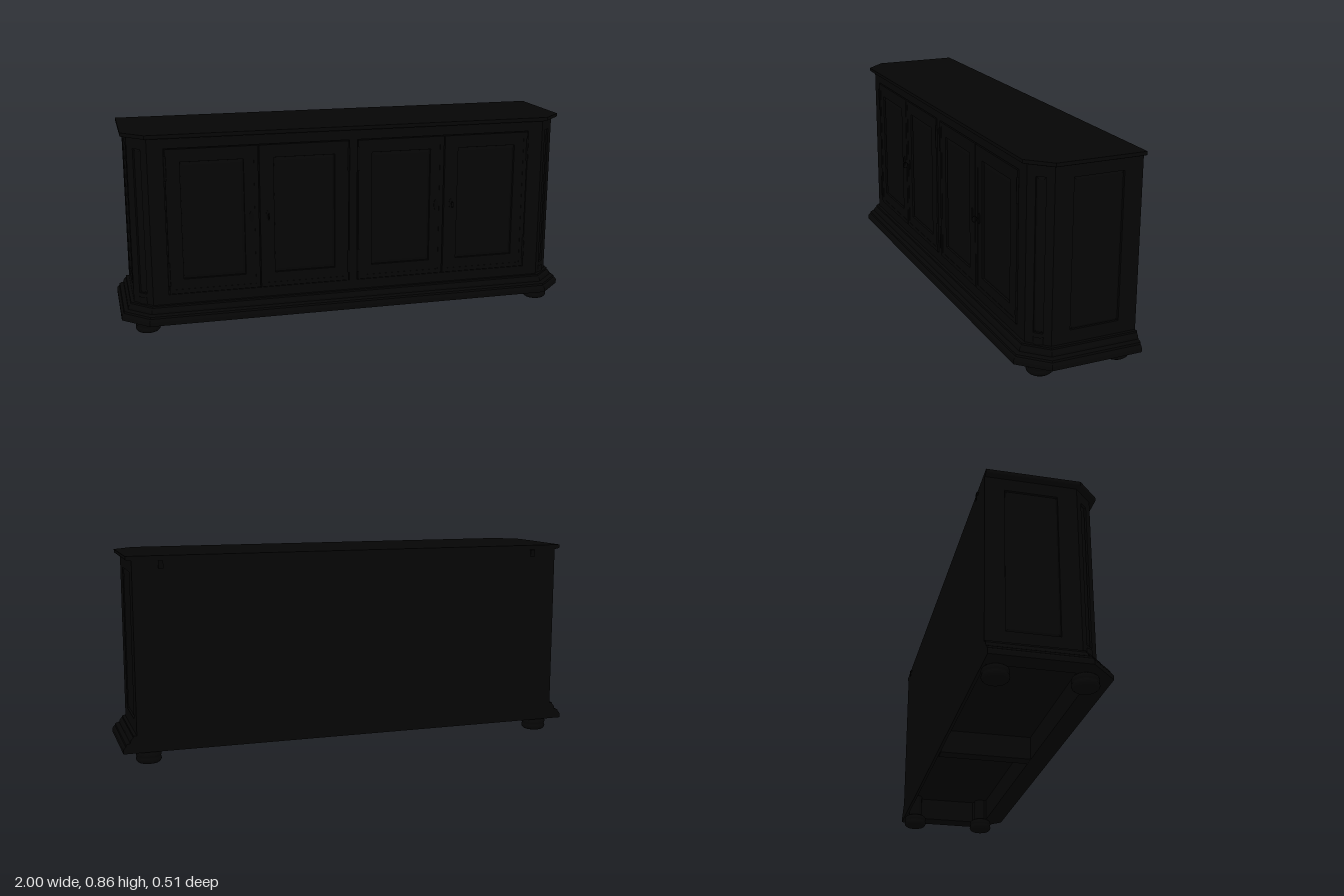
import * as THREE from 'three';

const wood = new THREE.MeshStandardMaterial({ color: 0x050505 });
wood.name = 'black wood';
const metal = new THREE.MeshStandardMaterial({ color: 0x040404 });
metal.name = 'black metal';

const BACK = -0.245, SIDE = 0.945, FRONT = 0.198, CORNER = 1.067;

// Plan of the cabinet with clipped front corners, grown outward by d
function plan(d, inset = 0) {
  const x = SIDE + d, f = FRONT + d, s = CORNER + d * Math.SQRT2, b = BACK + inset;
  return [[x, b], [-x, b], [-x, s - x], [f - s, f], [s - f, f], [x, s - x]];
}

// Stack of plans given as [y, d, back inset], capped at both ends
function stack(profile) {
  const rings = profile.map(([y, d, inset]) => plan(d, inset).map(([x, z]) => [x, y, z]));
  const pos = [];
  const tri = (...pts) => pts.forEach((p) => pos.push(...p));
  const n = rings[0].length, last = rings[rings.length - 1];
  for (let r = 0; r < rings.length - 1; r++) {
    const a = rings[r], b = rings[r + 1];
    for (let i = 0; i < n; i++) {
      const j = (i + 1) % n;
      tri(a[i], a[j], b[j]);
      tri(a[i], b[j], b[i]);
    }
  }
  for (let i = 1; i < n - 1; i++) {
    tri(rings[0][0], rings[0][i + 1], rings[0][i]);
    tri(last[0], last[i], last[i + 1]);
  }
  const g = new THREE.BufferGeometry();
  g.setAttribute('position', new THREE.Float32BufferAttribute(pos, 3));
  g.computeVertexNormals();
  return g;
}

function add(parent, name, geometry, material = wood, x = 0, y = 0, z = 0) {
  const m = new THREE.Mesh(geometry, material);
  m.name = name;
  m.position.set(x, y, z);
  parent.add(m);
  return m;
}

function rect(Type, [x0, y0, x1, y1]) {
  const s = new Type();
  s.moveTo(x0, y0);
  s.lineTo(x1, y0);
  s.lineTo(x1, y1);
  s.lineTo(x0, y1);
  s.closePath();
  return s;
}

// Board with rectangular openings, outer face at z = 0
function board(outer, holes, depth) {
  const s = rect(THREE.Shape, outer);
  s.holes = holes.map((h) => rect(THREE.Path, h));
  return new THREE.ExtrudeGeometry(s, { depth, bevelEnabled: false }).translate(0, 0, -depth);
}

// Raised field with sloping edges, its top at z = 0
function field([x0, y0, x1, y1], height, slope) {
  const s = rect(THREE.Shape, [x0 + slope, y0 + slope, x1 - slope, y1 - slope]);
  return new THREE.ExtrudeGeometry(s, {
    depth: 0.001, bevelEnabled: true, bevelThickness: height, bevelSize: slope, bevelSegments: 1,
  }).translate(0, 0, -height - 0.001);
}

export function createModel() {
  const model = new THREE.Group();
  model.name = 'sideboard';

  // Moulded plinth, hollow underneath up to the cabinet floor
  add(model, 'plinth', stack([
    [0.155, -0.03, 0.012], [0.052, -0.03, 0.012], [0.052, 0.056], [0.068, 0.056],
    [0.076, 0.052], [0.081, 0.046], [0.089, 0.044], [0.093, 0.038], [0.095, 0.027],
    [0.104, 0.026], [0.112, 0.021], [0.118, 0.015], [0.125, 0.014], [0.125, -0.01], [0.16, -0.01],
  ]));
  add(model, 'plinthDivider', new THREE.BoxGeometry(0.06, 0.104, 0.4), wood, 0, 0.105, -0.03);

  // Carcass and top
  add(model, 'carcass', stack([[0.16, -0.01], [0.842, -0.01]]));
  add(model, 'top', stack([
    [0.836, 0.006], [0.837, 0.016], [0.84, 0.022], [0.843, 0.024], [0.855, 0.024],
  ]));

  // Front face frame with two door openings
  add(model, 'faceFrame', board([-0.869, 0.12, 0.869, 0.84],
    [[-0.803, 0.167, -0.017, 0.793], [0.017, 0.167, 0.803, 0.793]], 0.01), wood, 0, 0, FRONT);

  // Panelled sides and clipped corners
  for (const s of [-1, 1]) {
    const panels = [
      { name: 'sidePanel', x: SIDE, z: -0.0615, turn: Math.PI / 2, half: 0.1835, hole: [-0.105, 0.178, 0.105, 0.785] },
      { name: 'cornerPanel', x: 0.907, z: 0.16, turn: Math.PI / 4, half: 0.0537, hole: [-0.02, 0.17, 0.02, 0.79] },
    ];
    for (const p of panels) {
      const g = new THREE.Group();
      g.name = p.name;
      g.position.set(s * p.x, 0, p.z);
      g.rotation.y = s * p.turn;
      model.add(g);
      add(g, 'panelFrame', board([-p.half, 0.12, p.half, 0.84], [p.hole], 0.01));
      const [x0, y0, x1, y1] = p.hole;
      add(g, 'panelField', field([x0 + 0.002, y0 + 0.002, x1 - 0.002, y1 - 0.002], 0.004, 0.008),
        wood, 0, 0, -0.003);
    }
  }

  // Four doors in two pairs
  for (const pair of [-0.41, 0.41]) {
    for (const s of [-1, 1]) {
      const door = new THREE.Group();
      door.name = 'door';
      door.position.set(pair + s * 0.1955, 0, 0.2005);
      model.add(door);
      const w = 0.193;
      add(door, 'doorFrame', board([-w, 0.17, w, 0.79], [[-0.132, 0.232, 0.132, 0.735]], 0.012));
      add(door, 'doorMoulding', board([-w, 0.17, w, 0.79], [[-w + 0.018, 0.188, w - 0.018, 0.772]], 0.01),
        wood, 0, 0, 0.0015);
      add(door, 'doorField', field([-0.13, 0.234, 0.13, 0.733], 0.005, 0.012), wood, 0, 0, -0.003);

      // Hinges on the outer edge, keyhole plate near the meeting edge
      for (const y of [0.255, 0.71]) {
        add(door, 'hinge', new THREE.CapsuleGeometry(0.005, 0.095, 4, 10), metal, s * w, y, 0.0005);
      }
      const lockX = -s * 0.16;
      const plate = add(door, 'keyholePlate', new THREE.CylinderGeometry(0.009, 0.009, 0.003, 16), metal,
        lockX, 0.485, 0.001);
      plate.rotation.x = Math.PI / 2;
      plate.scale.z = 2.6;
      if (s > 0) {
        const shaft = add(door, 'keyShaft', new THREE.CylinderGeometry(0.002, 0.002, 0.012, 8), metal,
          lockX, 0.485, 0.006);
        shaft.rotation.x = Math.PI / 2;
        const bow = add(door, 'keyBow', new THREE.TorusGeometry(0.0105, 0.0017, 8, 20), metal,
          lockX, 0.485, 0.0215);
        bow.rotation.y = Math.PI / 2;
        bow.scale.y = 1.25;
      }
    }
  }

  // Double bun feet
  const footProfile = [
    [0, 0], [0.043, 0], [0.05, 0.006], [0.053, 0.014], [0.052, 0.021], [0.049, 0.026],
    [0.052, 0.03], [0.053, 0.037], [0.05, 0.046], [0.043, 0.052], [0.03, 0.053], [0.03, 0.156],
  ].map(([r, y]) => new THREE.Vector2(r, y));
  for (const x of [-0.892, 0.892]) {
    for (const z of [-0.192, 0.144]) {
      add(model, 'foot', new THREE.LatheGeometry(footProfile, 28), wood, x, 0, z);
    }
  }

  // Wall brackets on the back
  for (const x of [-0.83, 0.83]) {
    add(model, 'bracketArm', new THREE.BoxGeometry(0.02, 0.002, 0.009), metal, x, 0.834, -0.2495);
    add(model, 'bracketPlate', new THREE.BoxGeometry(0.02, 0.032, 0.002), metal, x, 0.819, -0.253);
  }
  return model;
}
